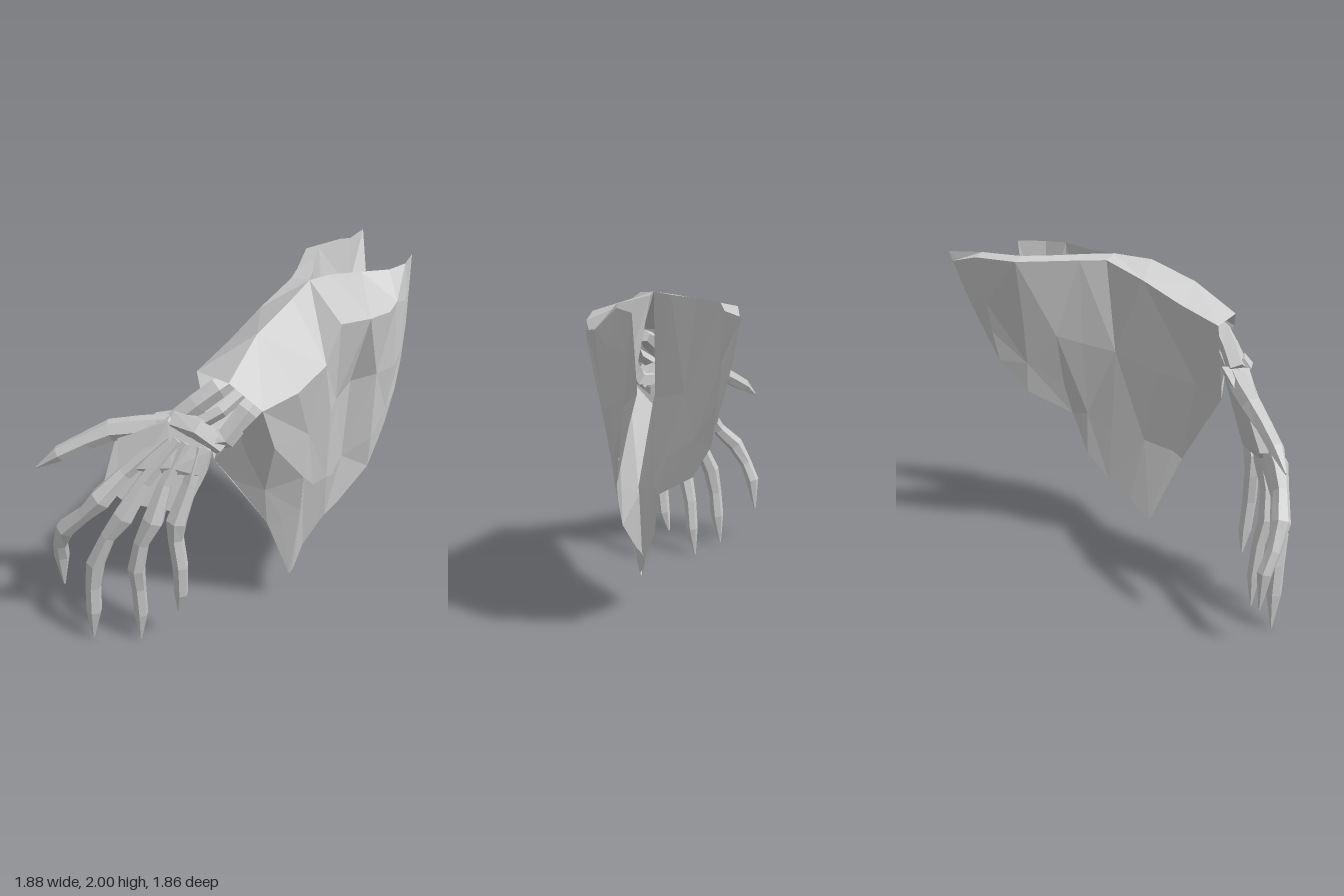
import * as THREE from 'three';
import { ConvexGeometry } from 'three/addons/geometries/ConvexGeometry.js';

const bone = new THREE.MeshStandardMaterial({ color: 0xcccccc, flatShading: true });
const cloth = new THREE.MeshStandardMaterial({ color: 0xcccccc, flatShading: true, side: THREE.DoubleSide });

// Flat-shaded surface through rows of points
function loft(name, rows, material) {
  const n = rows[0].length, index = [];
  for (let i = 0; i < rows.length - 1; i++) {
    for (let j = 0; j < n - 1; j++) {
      const a = i * n + j, b = a + 1, d = a + n, c = d + 1;
      if ((i + j) % 2) index.push(a, b, c, a, c, d);
      else index.push(a, b, d, b, c, d);
    }
  }
  let geo = new THREE.BufferGeometry().setFromPoints(rows.flat());
  geo.setIndex(index);
  geo = geo.toNonIndexed();
  geo.computeVertexNormals();
  const mesh = new THREE.Mesh(geo, material);
  mesh.name = name;
  return mesh;
}

// Jointed limb: path entries are [x, y, z, radius]
function limb(name, path, sides = 6) {
  const p = path.map(([x, y, z]) => new THREE.Vector3(x, y, z));
  const rows = path.map((entry, i) => {
    const t = p[Math.min(i + 1, p.length - 1)].clone().sub(p[Math.max(i - 1, 0)]).normalize();
    const u = new THREE.Vector3(0, 0, 1).addScaledVector(t, -t.z).normalize();
    const v = t.clone().cross(u);
    return Array.from({ length: sides + 1 }, (_, j) => {
      const a = (j % sides) / sides * Math.PI * 2;
      return p[i].clone().addScaledVector(u, Math.cos(a) * entry[3]).addScaledVector(v, Math.sin(a) * entry[3]);
    });
  });
  const cap = (q) => Array.from({ length: sides + 1 }, () => q.clone());
  return loft(name, [cap(p[0]), ...rows, cap(p[p.length - 1])], bone);
}

// Each station runs from the ridge down to the ragged hem
const toRows = (stations) => stations.map((s) => {
  const row = [];
  for (let k = 0; k < s.length; k += 3) row.push(new THREE.Vector3(s[k], s[k + 1], s[k + 2]));
  return row;
});

// Outer sheet plus a lining that hangs from its rim and meets it at the hem
function sheet(name, stations, inward) {
  const group = new THREE.Group();
  group.name = name;
  const rows = toRows(stations);
  const inner = rows.slice(3).map(([rim, , mid, low, hem]) =>
    [rim, mid.clone().add(inward), low.clone().addScaledVector(inward, 0.6), hem]);
  group.add(loft(name + 'Outside', rows, cloth), loft(name + 'Lining', inner, cloth));
  return group;
}

// Convex solid from outline entries [x, y, back z, front z]
function slab(name, outline) {
  const points = outline.flatMap(([x, y, back, front]) => [new THREE.Vector3(x, y, back), new THREE.Vector3(x, y, front)]);
  const mesh = new THREE.Mesh(new ConvexGeometry(points), bone);
  mesh.name = name;
  return mesh;
}

export function createModel() {
  const model = new THREE.Group();
  model.name = 'sleevedHand';

  // Sleeve: two hanging sheets sharing the front ridge, parting at the back
  const sleeve = new THREE.Group();
  sleeve.name = 'sleeve';
  sleeve.add(sheet('rightSleeveSheet', [
    [0.12, 1.68, 0.75, -0.08, 1.66, 0.6, 0.02, 1.18, 0.66, 0.28, 0.7, 0.48, 0.37, 0.3, 0.32],
    [0.22, 1.86, 0.52, 0.05, 1.76, 0.4, 0.12, 1.25, 0.52, 0.3, 0.75, 0.42, 0.39, 0.22, 0.29],
    [0.36, 1.97, 0.28, 0.18, 1.88, 0.2, 0.24, 1.3, 0.3, 0.38, 0.8, 0.25, 0.45, 0.36, 0.17],
    [0.42, 2, 0.06, 0.31, 1.98, 0, 0.36, 1.4, 0.06, 0.46, 0.85, 0.05, 0.53, 0.47, 0.04],
    [0.42, 2, -0.1, 0.32, 1.98, -0.16, 0.4, 1.45, -0.14, 0.52, 0.95, -0.1, 0.56, 0.66, -0.1],
    [0.4, 2, -0.3, 0.32, 1.98, -0.32, 0.42, 1.5, -0.3, 0.53, 1.15, -0.25, 0.59, 0.93, -0.19],
    [0.4, 2, -0.5, 0.32, 1.98, -0.54, 0.43, 1.6, -0.5, 0.52, 1.3, -0.48, 0.57, 1.1, -0.48],
    [0.56, 2, -0.73, 0.5, 1.98, -0.77, 0.52, 1.7, -0.72, 0.56, 1.5, -0.69, 0.58, 1.31, -0.65],
    [0.62, 2, -0.93, 0.62, 1.94, -0.91, 0.61, 1.77, -0.85, 0.6, 1.6, -0.78, 0.59, 1.4, -0.69],
  ], new THREE.Vector3(0.05, 0, 0.02)));
  sleeve.add(sheet('leftSleeveSheet', [
    [0.12, 1.68, 0.75, 0.3, 1.56, 0.79, 0.35, 1.3, 0.69, 0.48, 1.02, 0.48, 0.41, 0.25, 0.28],
    [0.22, 1.86, 0.52, 0.46, 1.62, 0.67, 0.5, 1.3, 0.5, 0.52, 0.9, 0.35, 0.45, 0.36, 0.17],
    [0.36, 1.97, 0.28, 0.58, 1.72, 0.53, 0.6, 1.38, 0.38, 0.58, 0.9, 0.25, 0.52, 0.45, 0.07],
    [0.42, 2, 0.06, 0.63, 1.88, 0.36, 0.61, 1.38, 0.22, 0.6, 0.85, 0.14, 0.56, 0.5, 0.03],
    [0.52, 2, -0.05, 0.77, 1.86, 0.2, 0.67, 1.42, 0.05, 0.64, 0.9, -0.01, 0.63, 0.57, -0.02],
    [0.68, 2, -0.13, 0.86, 1.84, 0.03, 0.81, 1.45, -0.01, 0.8, 1, -0.08, 0.79, 0.78, -0.13],
    [0.83, 2, -0.2, 0.89, 1.86, -0.08, 0.9, 1.45, -0.14, 0.87, 1.15, -0.18, 0.84, 0.95, -0.17],
    [0.91, 2, -0.32, 0.93, 1.8, -0.26, 0.93, 1.5, -0.28, 0.91, 1.25, -0.25, 0.87, 1.05, -0.21],
    [0.94, 2, -0.5, 0.94, 1.8, -0.46, 0.94, 1.6, -0.42, 0.93, 1.4, -0.36, 0.9, 1.2, -0.28],
  ], new THREE.Vector3(-0.04, 0, -0.05)));
  // Front panel below the cuff opening
  sleeve.add(loft('frontSleevePanel', toRows([
    [0.3, 1.56, 0.79, 0.17, 1.38, 0.72, 0.04, 1.25, 0.66],
    [0.35, 1.3, 0.69, 0.2, 1.22, 0.66, 0.02, 1.18, 0.66],
    [0.48, 1.02, 0.48, 0.28, 0.96, 0.56, 0.1, 1.03, 0.6],
    [0.46, 0.75, 0.4, 0.36, 0.7, 0.44, 0.28, 0.7, 0.48],
    [0.41, 0.25, 0.28, 0.39, 0.22, 0.29, 0.37, 0.3, 0.32],
  ]), cloth));
  model.add(sleeve);

  // Forearm bones and wrist
  const forearm = new THREE.Group();
  forearm.name = 'forearm';
  forearm.add(
    limb('upperForearmBone', [[-0.17, 1.42, 0.7, 0.06], [-0.06, 1.52, 0.68, 0.06], [0.04, 1.6, 0.65, 0.06], [0.16, 1.66, 0.55, 0.04]], 5),
    limb('lowerForearmBone', [[0, 1.34, 0.73, 0.06], [0.1, 1.36, 0.73, 0.06], [0.2, 1.5, 0.68, 0.06], [0.27, 1.58, 0.56, 0.04]], 5),
    limb('wristBone', [[-0.17, 1.43, 0.72, 0.06], [-0.04, 1.42, 0.76, 0.065], [0.08, 1.31, 0.74, 0.05]], 5),
    limb('forearmTendon', [[-0.06, 1.42, 0.75, 0.04], [0.08, 1.51, 0.73, 0.035], [0.2, 1.6, 0.6, 0.04]], 4),
  );
  model.add(forearm);

  // Palm with a thick heel, and the back of the hand over it
  const hand = new THREE.Group();
  hand.name = 'hand';
  hand.add(slab('palm', [[-0.16, 1.44, 0.61, 0.74], [0.03, 1.3, 0.68, 0.75], [0, 1.15, 0.72, 0.78], [-0.1, 0.93, 0.77, 0.83],
    [-0.3, 0.95, 0.78, 0.84], [-0.42, 0.97, 0.78, 0.85], [-0.55, 1.05, 0.75, 0.83], [-0.5, 1.28, 0.68, 0.73], [-0.3, 1.41, 0.62, 0.72]]));
  hand.add(slab('backOfHand', [[-0.2, 1.44, 0.7, 0.76], [0.03, 1.3, 0.72, 0.78], [-0.02, 1.16, 0.75, 0.81],
    [-0.17, 1.2, 0.75, 0.83], [-0.33, 1.18, 0.75, 0.83], [-0.47, 1.15, 0.74, 0.81], [-0.48, 1.3, 0.68, 0.75]]));

  // Thumb and fingers, each running from the wrist to a pointed tip
  const digits = {
    thumb: [[-0.2, 1.38, 0.69, 0.06], [-0.36, 1.35, 0.69, 0.065], [-0.53, 1.32, 0.7, 0.062], [-0.66, 1.26, 0.73, 0.05],
      [-0.81, 1.18, 0.76, 0.045], [-0.94, 1.09, 0.78, 0.006]],
    indexFinger: [[-0.2, 1.35, 0.75, 0.04], [-0.43, 1.13, 0.8, 0.045], [-0.56, 0.98, 0.85, 0.065], [-0.66, 0.87, 0.85, 0.045],
      [-0.79, 0.74, 0.82, 0.055], [-0.85, 0.6, 0.77, 0.042], [-0.87, 0.48, 0.72, 0.045], [-0.88, 0.26, 0.7, 0.006]],
    middleFinger: [[-0.14, 1.34, 0.76, 0.04], [-0.32, 1.1, 0.82, 0.045], [-0.43, 0.9, 0.87, 0.062], [-0.52, 0.77, 0.88, 0.045],
      [-0.61, 0.57, 0.87, 0.055], [-0.64, 0.4, 0.86, 0.045], [-0.65, 0.22, 0.85, 0.045], [-0.67, 0.01, 0.84, 0.006]],
    ringFinger: [[-0.1, 1.33, 0.76, 0.04], [-0.21, 1.1, 0.82, 0.04], [-0.27, 0.89, 0.86, 0.062], [-0.34, 0.74, 0.87, 0.045],
      [-0.38, 0.56, 0.86, 0.05], [-0.385, 0.4, 0.82, 0.042], [-0.385, 0.2, 0.8, 0.04], [-0.4, 0, 0.79, 0.006]],
    littleFinger: [[-0.03, 1.31, 0.75, 0.04], [-0.08, 1.1, 0.79, 0.045], [-0.15, 0.88, 0.83, 0.06], [-0.16, 0.76, 0.82, 0.045],
      [-0.14, 0.58, 0.82, 0.045], [-0.145, 0.38, 0.8, 0.04], [-0.17, 0.24, 0.78, 0.006]],
  };
  for (const [name, path] of Object.entries(digits)) hand.add(limb(name, path));
  model.add(hand);
  return model;
}
